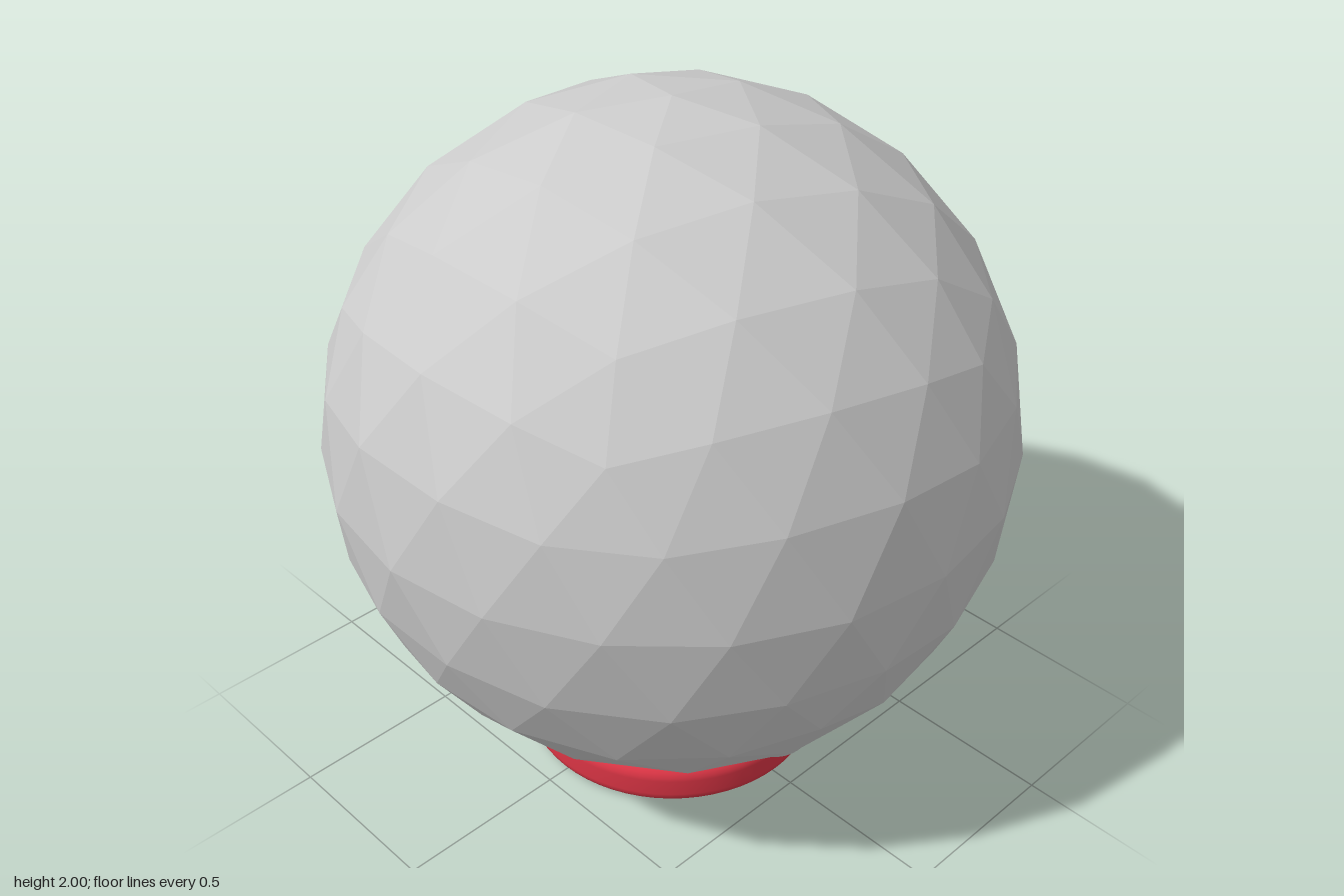
import * as THREE from 'three';

const grey = new THREE.MeshStandardMaterial({ color: 0xcccccc, side: THREE.DoubleSide });
const facetedGrey = new THREE.MeshStandardMaterial({ color: 0xcccccc, flatShading: true });
const red = new THREE.MeshStandardMaterial({ color: 0xdc3545 });

function add(group, name, geometry, material) {
  const mesh = new THREE.Mesh(geometry, material);
  mesh.name = name;
  group.add(mesh);
  return mesh;
}

// Closed ring with a rounded rectangular section, from inner to outer radius
function roundedRing(inner, outer, bottom, top, r) {
  const corners = [
    [outer - r, bottom + r, -Math.PI / 2],
    [outer - r, top - r, 0],
    [inner + r, top - r, Math.PI / 2],
    [inner + r, bottom + r, Math.PI],
  ];
  const points = [];
  for (const [x, y, start] of corners) {
    for (let i = 0; i <= 5; i++) {
      const a = start + (i / 5) * (Math.PI / 2);
      points.push(new THREE.Vector2(x + r * Math.cos(a), y + r * Math.sin(a)));
    }
  }
  points.push(points[0].clone());
  return new THREE.LatheGeometry(points, 64);
}

export function createModel() {
  const model = new THREE.Group();
  model.name = 'roundHeadWithCollar';

  // Faceted ball, turned so that one icosahedron corner points straight up
  const ball = new THREE.IcosahedronGeometry(0.96, 3);
  ball.rotateZ(-Math.atan(2 / (1 + Math.sqrt(5))));
  add(model, 'head', ball, facetedGrey).position.y = 1.04;

  // Collar: thick lower ring and a thinner band tucked under the head
  add(model, 'collarRing', roundedRing(0.355, 0.447, 0.005, 0.135, 0.04), red);
  add(model, 'collarBand', roundedRing(0.35, 0.403, 0.1, 0.2, 0.025), red);

  // Bell: open half ball at the front, with a small tail behind it
  const bell = new THREE.Group();
  bell.name = 'bell';
  bell.position.set(0, 0.22, 0.43);
  const bowl = new THREE.SphereGeometry(0.115, 32, 12, 0, Math.PI * 2, Math.PI / 2, Math.PI / 2);
  add(bell, 'bellBowl', bowl, grey);
  const tail = new THREE.ConeGeometry(0.06, 0.2, 24, 1, true);
  tail.rotateX(-Math.PI / 2);
  add(bell, 'bellTail', tail, grey).position.set(0, -0.07, -0.14);
  model.add(bell);

  return model;
}
